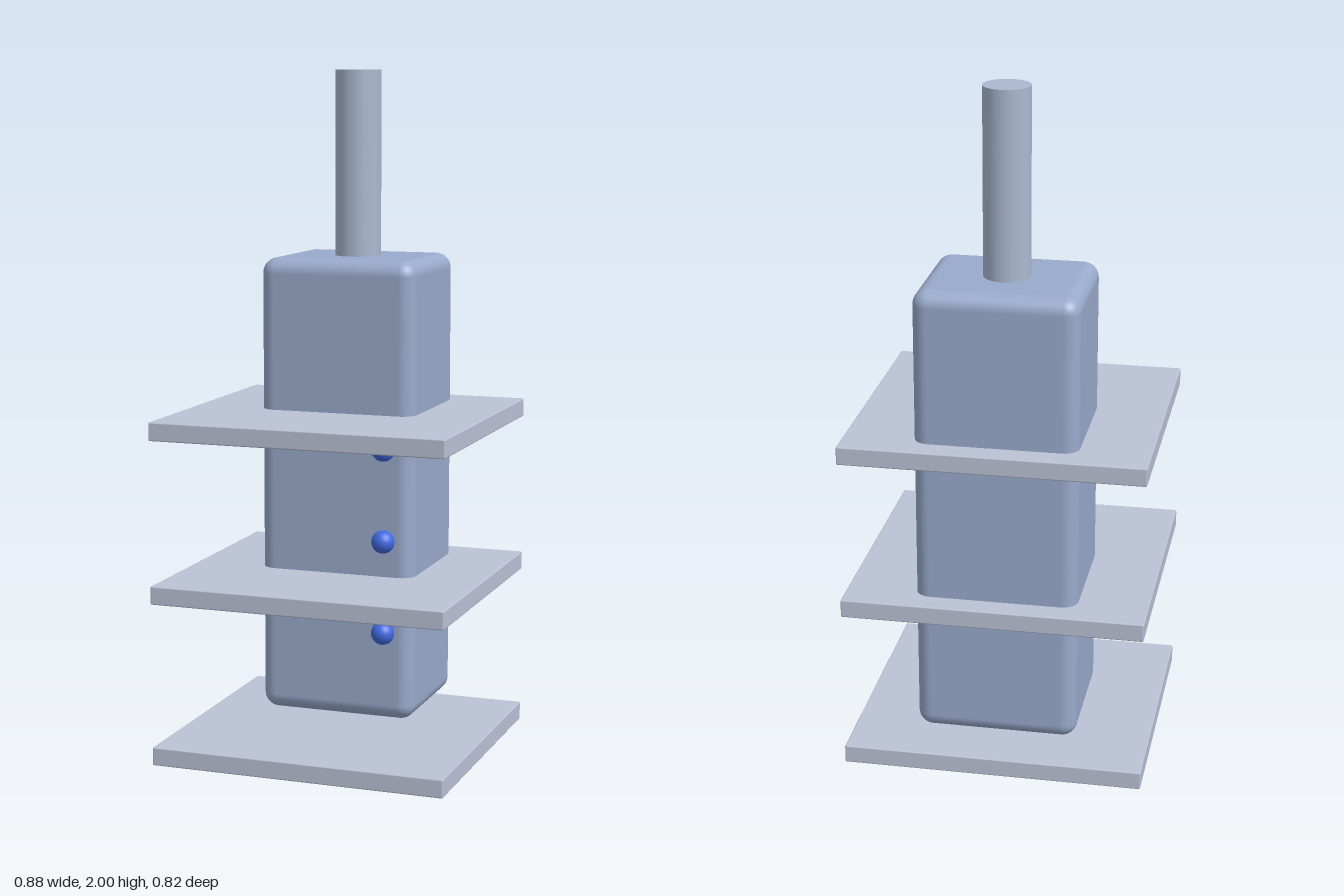
import * as THREE from 'three';
import { RoundedBoxGeometry } from 'three/addons/geometries/RoundedBoxGeometry.js';

export function createModel() {
  const model = new THREE.Group();
  model.name = 'shelvedTower';

  const add = (name, geometry, color, x, y, z) => {
    const mesh = new THREE.Mesh(geometry, new THREE.MeshStandardMaterial({ color }));
    mesh.name = name;
    mesh.position.set(x, y, z);
    model.add(mesh);
  };

  // Rounded tower body, set towards the back of the decks
  const axisZ = -0.136;
  add('body', new RoundedBoxGeometry(0.474, 1.356, 0.406, 6, 0.045), 0x99aacc, 0, 0.778, axisZ);

  // Chimney pole rising from the body
  add('chimney', new THREE.CylinderGeometry(0.068, 0.068, 0.68, 48), 0xaab8d0, 0, 1.66, axisZ);

  // Three thin decks with slightly softened edges
  const deck = new RoundedBoxGeometry(0.882, 0.054, 0.816, 2, 0.004);
  [0.027, 0.506, 0.983].forEach((y, i) => add(`deck${i + 1}`, deck, 0xbbc2d6, 0, y, 0));

  // Door knobs on the front, one per level
  const knob = new THREE.SphereGeometry(0.034, 32, 20);
  [0.373, 0.645, 0.916].forEach((y, i) => add(`knob${i + 1}`, knob, 0x4169e1, 0.16, y, 0.1));

  return model;
}
